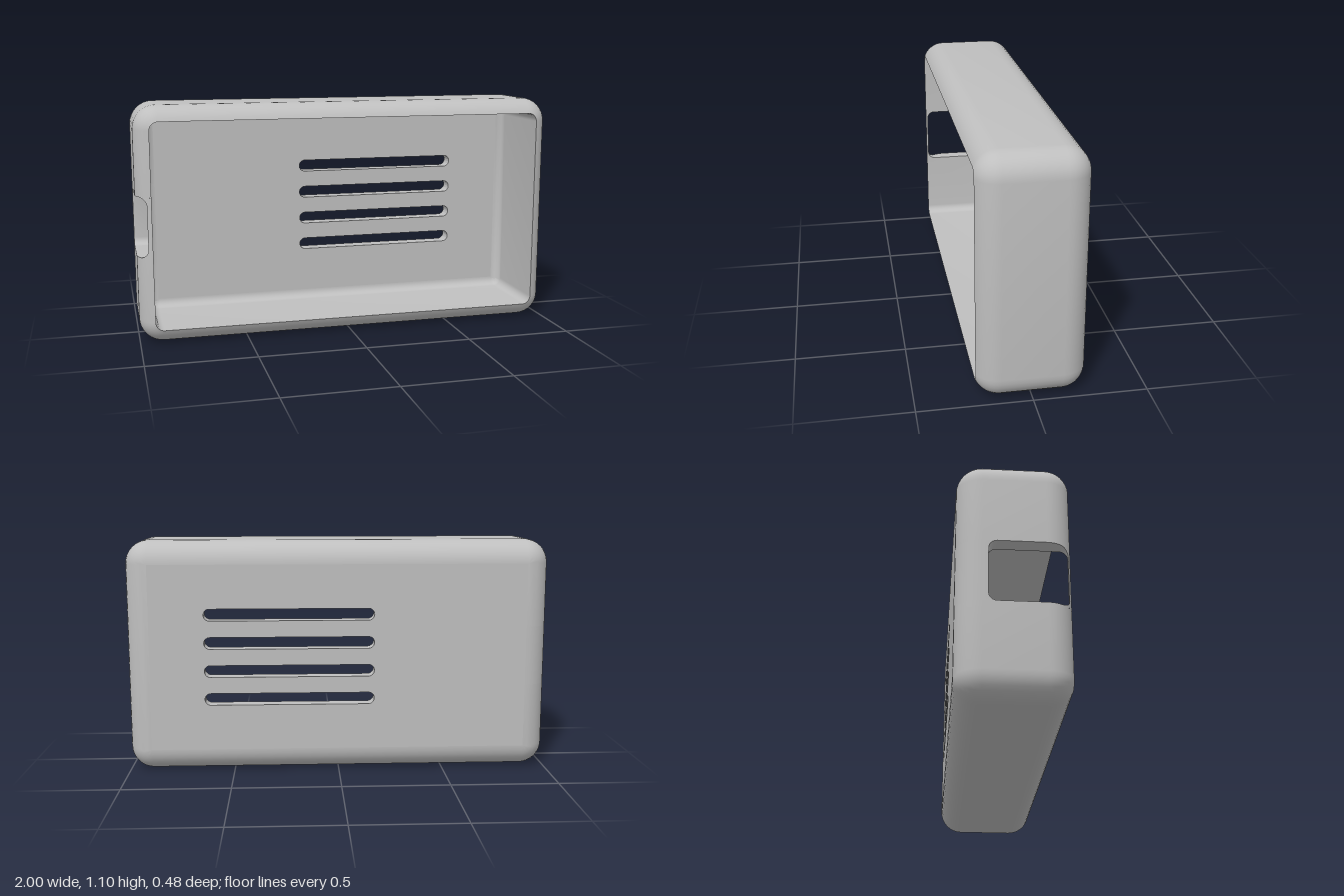
import * as THREE from 'three';
import { toCreasedNormals } from 'three/addons/utils/BufferGeometryUtils.js';

const R = 0.11, WALL = 0.07, RI = R - WALL;       // outer radius, wall, inner radius
const HX = 0.89, Y0 = 0.11, Y1 = 0.99;            // centres of the corner rounds
const BACK = -0.24, FLOOR = BACK + WALL, ZB = BACK + R, ZF = 0.135;
const N = 8;                                      // segments per rounded edge
const RIM = Math.acos(RI / R);                    // where the opening cuts the front round
const PORT = { y0: 0.41, y1: 0.69, z0: -0.105, z1: 0.227, r: 0.035 };

const steps = (n, f) => Array.from({ length: n + 1 }, (_, i) => f(i / n));

// Skin a grid of points, rows[u][v], facing along u x v
function loft(rows) {
  const nv = rows[0].length, index = [];
  for (let u = 0; u < rows.length - 1; u++) {
    for (let v = 0; v < nv - 1; v++) {
      const a = u * nv + v, b = a + nv;
      index.push(a, b, b + 1, a, b + 1, a + 1);
    }
  }
  const geo = new THREE.BufferGeometry();
  geo.setAttribute('position', new THREE.Float32BufferAttribute(rows.flat(2), 3));
  geo.setIndex(index);
  return toCreasedNormals(geo, 0.6);
}

// Wall profile pieces as [inset from the outside, z]
const backArc = steps(N, t => [R * (1 - Math.sin(t * Math.PI / 2)), ZB - R * Math.cos(t * Math.PI / 2)]);
const frontArc = from => steps(N, t => {
  const a = from + (RIM - from) * t;
  return [R * (1 - Math.cos(a)), ZF + R * Math.sin(a)];
});
const innerArc = steps(N, t => [R - RI * Math.cos(t * Math.PI / 2), ZB - RI * Math.sin(t * Math.PI / 2)]);
const outerInset = z => z < ZF ? 0 : R - Math.sqrt(R * R - (z - ZF) ** 2);

// Place a profile at a corner centre, pointing outward at an angle
const column = (profile, cx, cy, a) =>
  profile.map(([d, z]) => [cx + Math.cos(a) * (R - d), cy + Math.sin(a) * (R - d), z]);
const portColumn = (profile, y) => column(profile, -HX, y, Math.PI);

// Walls running round the case, from the bottom to the top of the port
function wallGeometry() {
  const profile = [...backArc, ...frontArc(0), ...innerArc];
  const corners = [[-HX, Y0], [HX, Y0], [HX, Y1], [-HX, Y1]];
  const rows = [portColumn(profile, PORT.y0)];
  corners.forEach(([cx, cy], i) => {
    rows.push(...steps(N, t => column(profile, cx, cy, Math.PI + (i + t) * Math.PI / 2)));
  });
  rows.push(portColumn(profile, PORT.y1));
  return loft(rows);
}

// Port edge heights with the inset of its rounded corners, from top to bottom
const portCuts = [
  ...steps(6, t => [PORT.y1 - PORT.r * (1 - Math.cos(t * Math.PI / 2)), t]).map(([, t]) => t)
    .map(t => [PORT.y1 - PORT.r * (1 - Math.cos(t * Math.PI / 2)), PORT.r * (1 - Math.sin(t * Math.PI / 2))]),
  ...steps(6, t => [PORT.y0 + PORT.r * (1 - Math.sin(t * Math.PI / 2)), PORT.r * (1 - Math.cos(t * Math.PI / 2))]),
];

// Wall behind the port
const portBackGeometry = () => loft(portCuts.map(([y, inset]) => {
  const z = PORT.z0 + inset;
  return portColumn([...backArc, [0, z], [WALL, z], ...innerArc], y);
}));

// Thin lip in front of the port
const portLipGeometry = () => loft(portCuts.map(([y, inset]) => {
  const z = PORT.z1 - inset;
  return portColumn([[WALL, z], ...frontArc(Math.asin((z - ZF) / R)), [WALL, z]], y);
}));

// Flat sill (or lintel) of the port
function portSillGeometry(y, flip) {
  const rows = steps(16, t => {
    const z = PORT.z0 + PORT.r + (PORT.z1 - PORT.z0 - 2 * PORT.r) * t;
    return portColumn([[outerInset(z), z], [WALL, z]], y);
  });
  return loft(flip ? rows.reverse() : rows);
}

// Back panel with four round-ended vent slots
function backPanelGeometry() {
  const shape = new THREE.Shape();
  shape.moveTo(-HX, Y0).lineTo(HX, Y0).lineTo(HX, Y1).lineTo(-HX, Y1).closePath();
  const r = 0.028, xa = -0.168 + r, xb = 0.634 - r;
  for (let i = 0; i < 4; i++) {
    const y = 0.353 + i * 0.134;
    const slot = new THREE.Path();
    slot.moveTo(xa, y - r);
    slot.lineTo(xb, y - r);
    slot.absarc(xb, y, r, -Math.PI / 2, Math.PI / 2, false);
    slot.lineTo(xa, y + r);
    slot.absarc(xa, y, r, Math.PI / 2, Math.PI * 1.5, false);
    shape.holes.push(slot);
  }
  const geo = new THREE.ExtrudeGeometry(shape, { depth: WALL, bevelEnabled: false, curveSegments: 12 });
  geo.translate(0, 0, BACK);
  return toCreasedNormals(geo, 0.6);
}

export function createModel() {
  const grey = new THREE.MeshStandardMaterial({ color: 0xbfbfbf });
  grey.name = 'grey plastic';
  const model = new THREE.Group();
  model.name = 'ventedCase';
  const add = (name, geo) => {
    const mesh = new THREE.Mesh(geo, grey);
    mesh.name = name;
    model.add(mesh);
  };
  add('walls', wallGeometry());
  add('backPanel', backPanelGeometry());
  add('portBackWall', portBackGeometry());
  add('portFrontLip', portLipGeometry());
  add('portSill', portSillGeometry(PORT.y0, false));
  add('portLintel', portSillGeometry(PORT.y1, true));
  return model;
}
